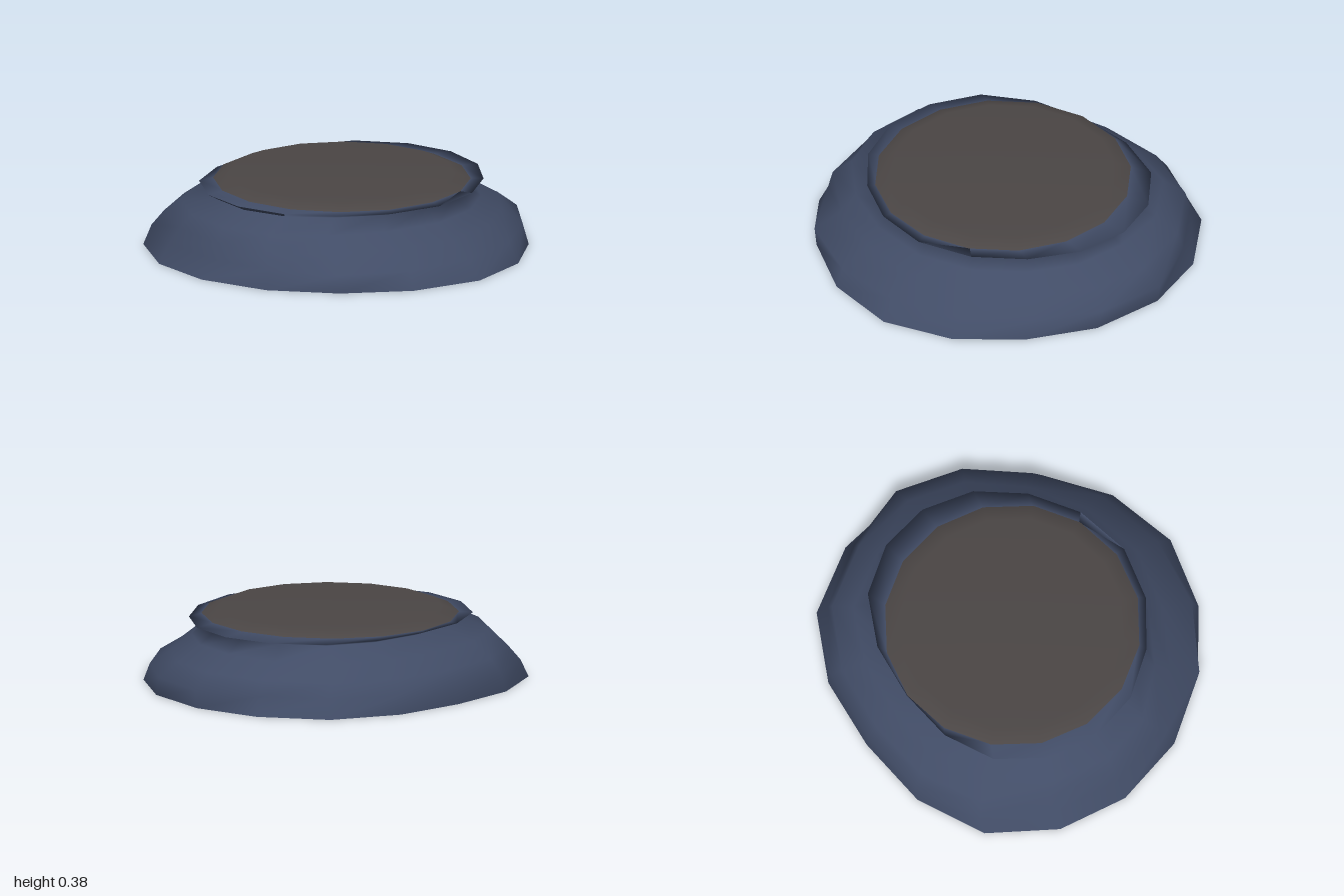
import * as THREE from 'three';

const SIDES = 16;
const CENTRE_Z = -0.05;

// Each ring: height, reach to -x, +x, front, back (z), how boxy the outline is,
// swelling at the front right-hand corner (-x, +z) with its angle, and at the opposite corner
const RINGS = [
  [0.0, 1.0, 0.985, 0.95, 0.95, 0.045, 0.01, 2.3, 0],
  [0.095, 0.93, 1.0, 0.87, 0.94, 0.045, 0.1, 2.3, -0.08],
  [0.17, 0.87, 0.9, 0.74, 0.89, 0.04, 0.09, 2.7, 0],
  [0.245, 0.84, 0.75, 0.65, 0.78, 0.03, 0.02, 2.7, 0.06],
  [0.31, 0.7, 0.65, 0.57, 0.63, 0.03, 0, 2.7, 0],
  [0.335, 0.74, 0.77, 0.66, 0.7, 0.03, 0, 2.7, 0],
  [0.346, 0.655, 0.645, 0.605, 0.695, 0, 0, 2.7, 0],
];

// Smooth local swelling around one angle
const swell = (a, centre) => Math.exp(-(((a - centre) / 0.4) ** 2));

// Lopsided skin lofted through the rings, open at the bottom
function loft(rings) {
  const positions = [];
  const index = [];
  rings.forEach(([y, left, right, front, back, boxy, nearSwell, nearAngle, farSwell], r) => {
    for (let i = 0; i < SIDES; i++) {
      const a = (i / SIDES) * Math.PI * 2;
      const c = Math.cos(a);
      const s = Math.sin(a);
      // fuller shoulders at the back, slimmer ones at the front
      const diagonal = Math.sin(2 * a) ** 2;
      const bulge = 1 + diagonal * (s < 0 ? boxy : -boxy)
        + nearSwell * swell(a, nearAngle) + farSwell * swell(a, 5.69);
      const x = c * (c > 0 ? right : left) * bulge;
      const reach = s > 0 ? front - CENTRE_Z : back + CENTRE_Z;
      const shift = s < 0 ? diagonal * boxy * 0.6 : 0;
      positions.push(x, y, CENTRE_Z + s * reach * bulge - shift);
      if (r === rings.length - 1) continue;
      const p = r * SIDES + i;
      const q = r * SIDES + ((i + 1) % SIDES);
      index.push(p, p + SIDES, q, q, p + SIDES, q + SIDES);
    }
  });
  const geometry = new THREE.BufferGeometry();
  geometry.setAttribute('position', new THREE.Float32BufferAttribute(positions, 3));
  geometry.setIndex(index);
  geometry.computeVertexNormals();
  return geometry;
}

export function createModel() {
  const group = new THREE.Group();
  group.name = 'coveredBase';

  const blue = new THREE.MeshStandardMaterial({ color: 0x414c66, side: THREE.DoubleSide });
  blue.name = 'slate blue';
  const grey = new THREE.MeshStandardMaterial({ color: 0x4b4645, side: THREE.DoubleSide });
  grey.name = 'warm grey';

  // Flared wall, pinched neck and turned-out rim
  const shell = new THREE.Mesh(loft(RINGS), blue);
  shell.name = 'flaredShell';
  group.add(shell);

  // Shallow lid: bevelled top and flat underside
  const lid = new THREE.Group();
  lid.name = 'lid';
  lid.position.set(-0.008, 0, -0.045);
  const profile = [[0.655, 0.346], [0.57, 0.38], [0, 0.38]].map(([r, y]) => new THREE.Vector2(r, y));
  const lidTop = new THREE.Mesh(new THREE.LatheGeometry(profile, SIDES), grey);
  lidTop.name = 'lidTop';
  const lidUnderside = new THREE.Mesh(new THREE.CircleGeometry(0.655, SIDES), grey);
  lidUnderside.name = 'lidUnderside';
  lidUnderside.rotation.x = Math.PI / 2;
  lidUnderside.position.y = 0.346;
  lid.add(lidTop, lidUnderside);
  group.add(lid);

  return group;
}
